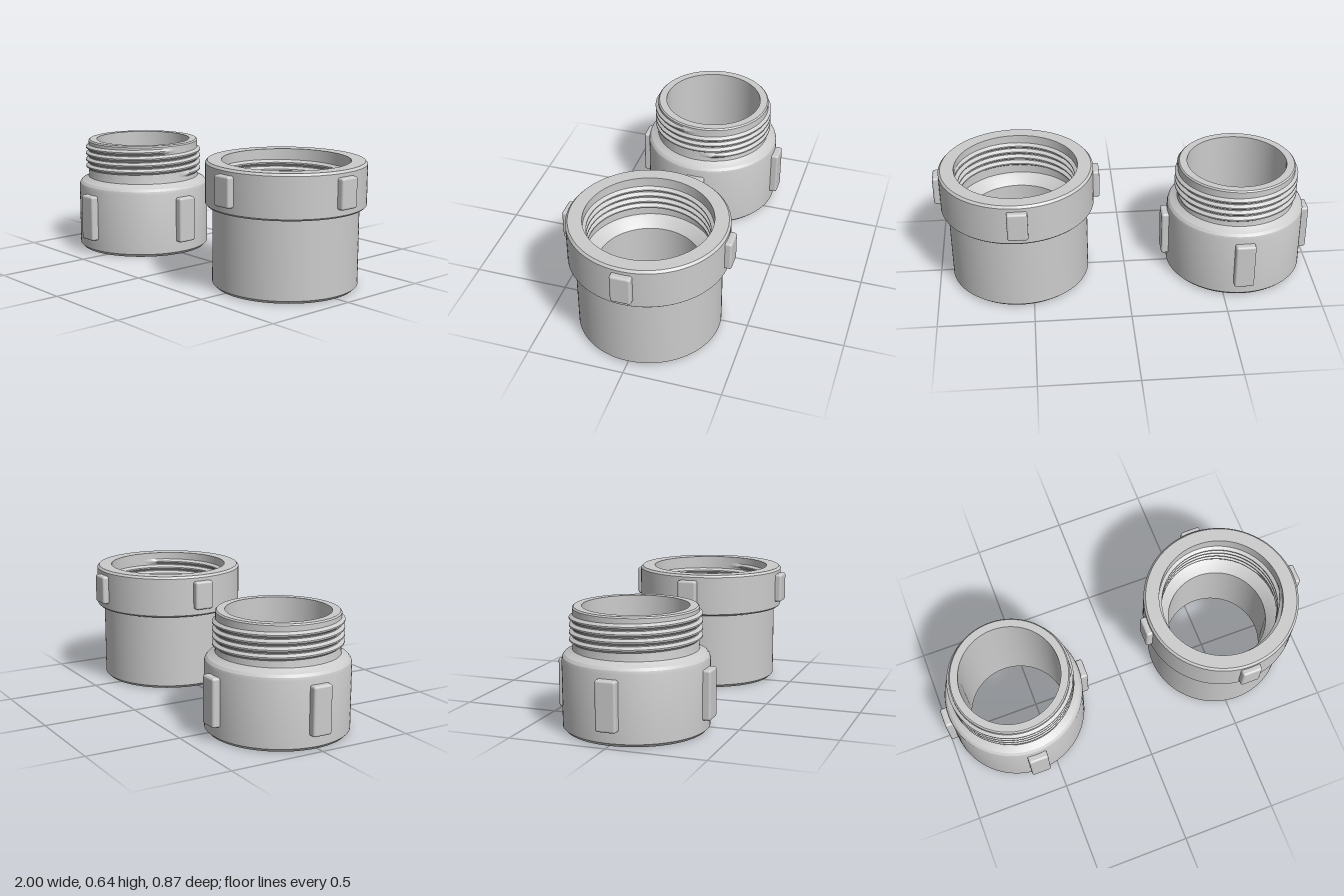
import * as THREE from 'three';
import { toCreasedNormals } from 'three/addons/utils/BufferGeometryUtils.js';
import { RoundedBoxGeometry } from 'three/addons/geometries/RoundedBoxGeometry.js';

const material = new THREE.MeshStandardMaterial({ color: 0xcccccc });

function addMesh(parent, name, geometry) {
  const mesh = new THREE.Mesh(geometry, material);
  mesh.name = name;
  parent.add(mesh);
  return mesh;
}

// Hollow turned body from a closed [radius, y] loop: up the outside, down the bore
function turned(loop) {
  const points = [...loop, loop[0]].map(([r, y]) => new THREE.Vector2(r, y));
  return toCreasedNormals(new THREE.LatheGeometry(points, 96), 0.4);
}

// Helical ridge; a crest smaller than the root radius gives an inward-facing thread
function thread(root, crest, y0, pitch, turns) {
  const profile = [[0, -0.45], [1, -0.1], [1, 0.1], [0, 0.45]];
  if (crest < root) profile.reverse();
  const perTurn = 96, steps = Math.round(perTurn * turns), n = profile.length;
  const positions = [], index = [];
  for (let i = 0; i <= steps; i++) {
    const angle = (i / perTurn) * Math.PI * 2;
    const fade = Math.min(1, i / 8, (steps - i) / 8); // run-out at both ends
    for (const [out, up] of profile) {
      const r = root + (crest - root) * out * fade;
      const y = y0 + pitch * (i / perTurn + up);
      positions.push(r * Math.cos(angle), y, -r * Math.sin(angle));
    }
    if (i === steps) continue;
    for (let j = 0; j < n - 1; j++) {
      const a = i * n + j, b = a + n;
      index.push(a, b, a + 1, b, b + 1, a + 1);
    }
  }
  const geometry = new THREE.BufferGeometry();
  geometry.setAttribute('position', new THREE.Float32BufferAttribute(positions, 3));
  geometry.setIndex(index);
  return toCreasedNormals(geometry, 0.4);
}

// Four rounded grip lugs around the outside
function addGripLugs(parent, outerRadius, bottom, top) {
  const depth = 0.07;
  for (let i = 0; i < 4; i++) {
    const angle = (i * Math.PI) / 2;
    const lug = addMesh(parent, 'gripLug', new RoundedBoxGeometry(0.105, top - bottom, depth, 3, 0.012));
    const r = outerRadius - depth / 2;
    lug.position.set(r * Math.sin(angle), (bottom + top) / 2, r * Math.cos(angle));
    lug.rotation.y = angle;
  }
}

export function createModel() {
  const model = new THREE.Group();
  model.name = 'threadedPipeCoupling';

  // Male half: wide base, rounded shoulder, threaded neck
  const male = new THREE.Group();
  male.name = 'maleFitting';
  male.position.x = -0.6;
  addMesh(male, 'maleBody', turned([
    [0.35, 0], [0.365, 0.016], [0.365, 0.35], [0.361, 0.366], [0.35, 0.379],
    [0.319, 0.394], [0.312, 0.4], [0.31, 0.41], [0.31, 0.603], [0.303, 0.61],
    [0.263, 0.61], [0.263, 0],
  ]));
  addMesh(male, 'externalThread', thread(0.309, 0.326, 0.435, 0.036, 4));
  addGripLugs(male, 0.4, 0.075, 0.325);
  model.add(male);

  // Female half: plain sleeve, wider collar, threaded socket with a tapered seat
  const female = new THREE.Group();
  female.name = 'femaleFitting';
  female.position.x = 0.565;
  addMesh(female, 'femaleBody', turned([
    [0.35, 0], [0.367, 0.016], [0.367, 0.414], [0.394, 0.414], [0.403, 0.423],
    [0.403, 0.628], [0.392, 0.64], [0.322, 0.64], [0.322, 0.41], [0.305, 0.4],
    [0.263, 0.36], [0.263, 0],
  ]));
  addMesh(female, 'internalThread', thread(0.323, 0.305, 0.445, 0.036, 4));
  addGripLugs(female, 0.433, 0.455, 0.61);
  model.add(female);

  return model;
}
